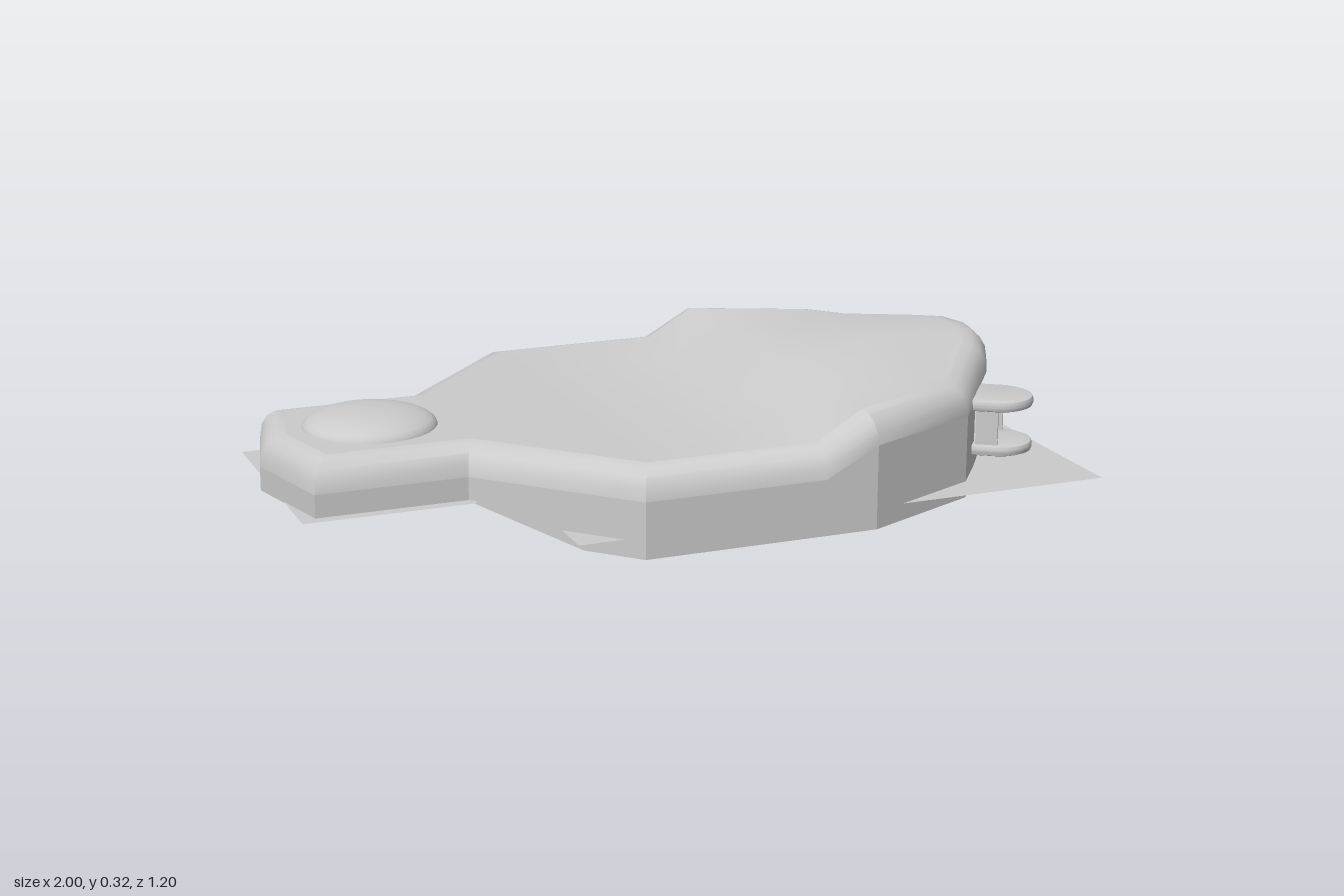
import * as THREE from 'three';
import { toCreasedNormals } from 'three/addons/utils/BufferGeometryUtils.js';

const mat = new THREE.MeshStandardMaterial({ color: 0xcccccc });
const thin = new THREE.MeshStandardMaterial({ color: 0xcccccc, side: THREE.DoubleSide });
const clamp = (v) => Math.min(1, Math.max(0, v));

// Half plan of the hull, tail to nose, on the +z side: [x, z]
const half = [[-1, 0], [-0.935, 0.265], [-0.56, 0.265], [-0.35, 0.485], [-0.24, 0.6], [0.22, 0.6], [0.355, 0.6],
  [0.67, 0.46], [0.745, 0.36], [0.8, 0.28], [0.87, 0.19], [0.92, 0.095], [0.94, 0]];
// Back wall of the nose opening, paired with the last plan points
const innerHalf = [[0.745, 0.36], [0.757, 0.29], [0.7, 0.2], [0.69, 0.095], [0.69, 0]];
const JAW = 8, NOSE = half.length - 1;

const mirrorRing = (pts, closed) => [...pts, ...pts.slice(closed ? 1 : 0, -1).reverse().map(([x, z]) => [x, -z])];
const ring = mirrorRing(half, true);
const N = ring.length;

const deckY = (x, z) => 0.215 + 0.07 * clamp((x - 0.22) / 0.135)
  + 0.04 * clamp((x - 0.36) / 0.36) * clamp((0.34 - Math.abs(z)) / 0.28);
const bottomY = (x) => 0.08 * clamp((-0.35 - x) / 0.21);

// Mitred inset of the plan
function inset(d) {
  const normal = (a, b) => new THREE.Vector2(a[1] - b[1], b[0] - a[0]).normalize();
  return ring.map((p, i) => {
    const n1 = normal(ring[(i + N - 1) % N], p), n2 = normal(p, ring[(i + 1) % N]);
    const k = d / (1 + n1.dot(n2));
    return [p[0] - (n1.x + n2.x) * k, p[1] - (n1.y + n2.y) * k];
  });
}

// Collects quads, counter-clockwise from outside
function surface() {
  const pos = [];
  const quad = (a, b, c, d) => pos.push(...a, ...b, ...c, ...a, ...c, ...d);
  const strip = (low, high, closed) => {
    for (let i = 0; i < low.length - (closed ? 0 : 1); i++) {
      const j = (i + 1) % low.length;
      quad(low[i], low[j], high[j], high[i]);
    }
  };
  const build = (crease) => {
    const g = new THREE.BufferGeometry();
    g.setAttribute('position', new THREE.Float32BufferAttribute(pos, 3));
    g.computeVertexNormals();
    return toCreasedNormals(g, crease);
  };
  return { strip, build };
}

function add(parent, name, geometry, x = 0, y = 0, z = 0, material = mat) {
  const m = new THREE.Mesh(geometry, material);
  m.name = name;
  m.position.set(x, y, z);
  parent.add(m);
  return m;
}

function buildHull(group) {
  const lift = (pts, y) => pts.map((p, i) => [p[0], typeof y === 'function' ? y(p, i) : y, p[1]]);
  const D = 0.065, H = 0.075;
  const inner = inset(D);
  const edgeY = (i) => deckY(ring[i][0], inner[i][1]);

  // Rounded shoulder and deck
  const top = surface(), levels = [];
  for (let k = 0; k <= 4; k++) {
    const a = (k / 4) * Math.PI / 2;
    levels.push(lift(inset(D * (1 - Math.cos(a))), (p, i) => edgeY(i) - H + H * Math.sin(a)));
  }
  for (let k = 0; k < 4; k++) top.strip(levels[k], levels[k + 1], true);
  const row = (i) => {
    const [x, z] = inner[i], w = Math.abs(z);
    return [w, Math.min(w, 0.34), Math.min(w, 0.06), -Math.min(w, 0.06), -Math.min(w, 0.34), -w]
      .map((s) => [x, deckY(ring[i][0], s), s]);
  };
  for (let i = 0; i < NOSE; i++) top.strip(row(i), row(i + 1), false);
  // rows run from +z to -z, so reversed order is avoided by walking tail to nose
  add(group, 'deck', top.build(0.6), 0, 0, 0, thin);

  // Side walls, leaving the nose open
  const sides = surface();
  const order = [];
  for (let i = N - JAW; i <= N + JAW; i++) order.push(i % N);
  sides.strip(order.map((i) => [ring[i][0], bottomY(ring[i][0]), ring[i][1]]), order.map((i) => levels[0][i]), false);
  add(group, 'hullSides', sides.build(0.4));

  // Nose: lower lip, back wall and overhang
  const nose = surface();
  const rim = ring.slice(JAW, N - JAW + 1);
  const back = mirrorRing(innerHalf, false).slice(0, 2 * innerHalf.length - 1);
  const lipY = (p) => 0.065 + 0.025 * clamp(Math.abs(p[1]) / 0.22);
  nose.strip(lift(rim, 0), lift(rim, lipY), false);
  nose.strip(lift(rim, lipY), lift(back, 0.085), false);
  nose.strip(lift(back, 0.085), lift(back, 0.2), false);
  nose.strip(lift(back, 0.2), levels[0].slice(JAW, N - JAW + 1), false);
  add(group, 'noseOpening', nose.build(0.5), 0, 0, 0, thin);

  // Underside: flat belly with two hexagonal wells, ramp and tail floor
  const belly = new THREE.Shape(ring.filter((p) => p[0] > -0.36).map(([x, z]) => new THREE.Vector2(x, z)));
  for (const s of [-1, 1]) {
    const hex = Array.from({ length: 6 }, (_, i) => {
      const a = i * Math.PI / 3;
      return new THREE.Vector2(-0.015 + 0.07 * Math.cos(a), s * 0.2 + 0.07 * Math.sin(a));
    });
    belly.holes.push(new THREE.Path(hex));
    const well = new THREE.CylinderGeometry(0.07, 0.07, 0.045, 6, 1, true, Math.PI / 6 * 3).toNonIndexed();
    well.computeVertexNormals();
    add(group, 'bellyWell', well, -0.015, 0.0225, s * 0.2, thin);
  }
  add(group, 'belly', new THREE.ShapeGeometry(belly).rotateX(Math.PI / 2));
  const tail = surface();
  for (let i = 0; i < 3; i++) {
    const line = (k) => [-1, 1].map((s) => [half[k][0], bottomY(half[k][0]), s * half[k][1]]);
    tail.strip(line(i), line(i + 1), false);
  }
  add(group, 'tailFloor', tail.build(0.2), 0, 0, 0, thin);
}

// Rounded-end plan running outward along +x
function stadium(r, len) {
  const s = new THREE.Shape();
  s.moveTo(-len, -r);
  s.lineTo(0, -r);
  s.absarc(0, 0, r, -Math.PI / 2, Math.PI / 2, false);
  s.lineTo(-len, r);
  s.closePath();
  return s;
}

function slab(r, len, h, bevel) {
  const g = new THREE.ExtrudeGeometry(stadium(r - bevel, len), {
    depth: h - 2 * bevel, bevelEnabled: true, bevelSize: bevel, bevelThickness: bevel, bevelSegments: 2, curveSegments: 12,
  });
  return toCreasedNormals(g.rotateX(-Math.PI / 2).translate(0, bevel, 0), 0.6);
}

// Seat with a sloping back
function buildSeat(parent, x, y, z, w, h) {
  const s = new THREE.Shape([[-w, 0], [w, 0], [w * 0.7, h], [-w * 0.7, h]].map((p) => new THREE.Vector2(...p)));
  const g = new THREE.ExtrudeGeometry(s, { depth: 0.02, bevelEnabled: false }).rotateY(Math.PI / 2);
  add(parent, 'seatBack', g, x, y, z);
  add(parent, 'seatBase', new THREE.BoxGeometry(0.06, h * 0.35, w * 1.4), x + 0.04, y + h * 0.175, z);
}

function buildPod(side) {
  const pod = new THREE.Group();
  pod.name = 'sidePod';
  add(pod, 'podFloor', slab(0.088, 0.08, 0.028, 0.01), 0, 0.083, 0);
  add(pod, 'podRoof', slab(0.088, 0.08, 0.03, 0.012), 0, 0.197, 0);
  for (const s of [-1, 1]) add(pod, 'podWall', new THREE.BoxGeometry(0.055, 0.1, 0.014), -0.02, 0.155, s * 0.07);
  buildSeat(pod, -0.07, 0.105, 0, 0.035, 0.022);
  pod.position.set(0.815, 0, side * 0.352);
  pod.rotation.y = -side * 0.6;
  return pod;
}

export function createModel() {
  const model = new THREE.Group();
  model.name = 'model';
  buildHull(model);

  // Shallow dome on the tail
  const dome = Array.from({ length: 9 }, (_, i) => {
    const a = (i / 8) * Math.PI / 2;
    return new THREE.Vector2(0.165 * Math.cos(a), 0.045 * Math.sin(a));
  });
  add(model, 'tailDome', new THREE.LatheGeometry(dome, 32), -0.725, 0.215, 0);

  // Thin ground sheets
  add(model, 'mainSheet', new THREE.PlaneGeometry(1.39, 1.12).rotateX(-Math.PI / 2), 0.305, 0.042, 0, thin);
  add(model, 'tailSheet', new THREE.PlaneGeometry(0.425, 0.61).rotateX(-Math.PI / 2), -0.76, 0.083, -0.01, thin);

  // Side pods
  for (const s of [-1, 1]) model.add(buildPod(s));

  // Cabin fittings in the nose
  buildSeat(model, 0.7, 0.085, 0, 0.065, 0.085);
  add(model, 'consoleTop', new THREE.BoxGeometry(0.03, 0.008, 0.18), 0.84, 0.1, 0);
  add(model, 'consoleStem', new THREE.BoxGeometry(0.02, 0.035, 0.03), 0.84, 0.085, 0);
  for (const s of [-1, 1]) add(model, 'sideBench', new THREE.BoxGeometry(0.05, 0.035, 0.1), 0.735, 0.1, s * 0.14);
  return model;
}
